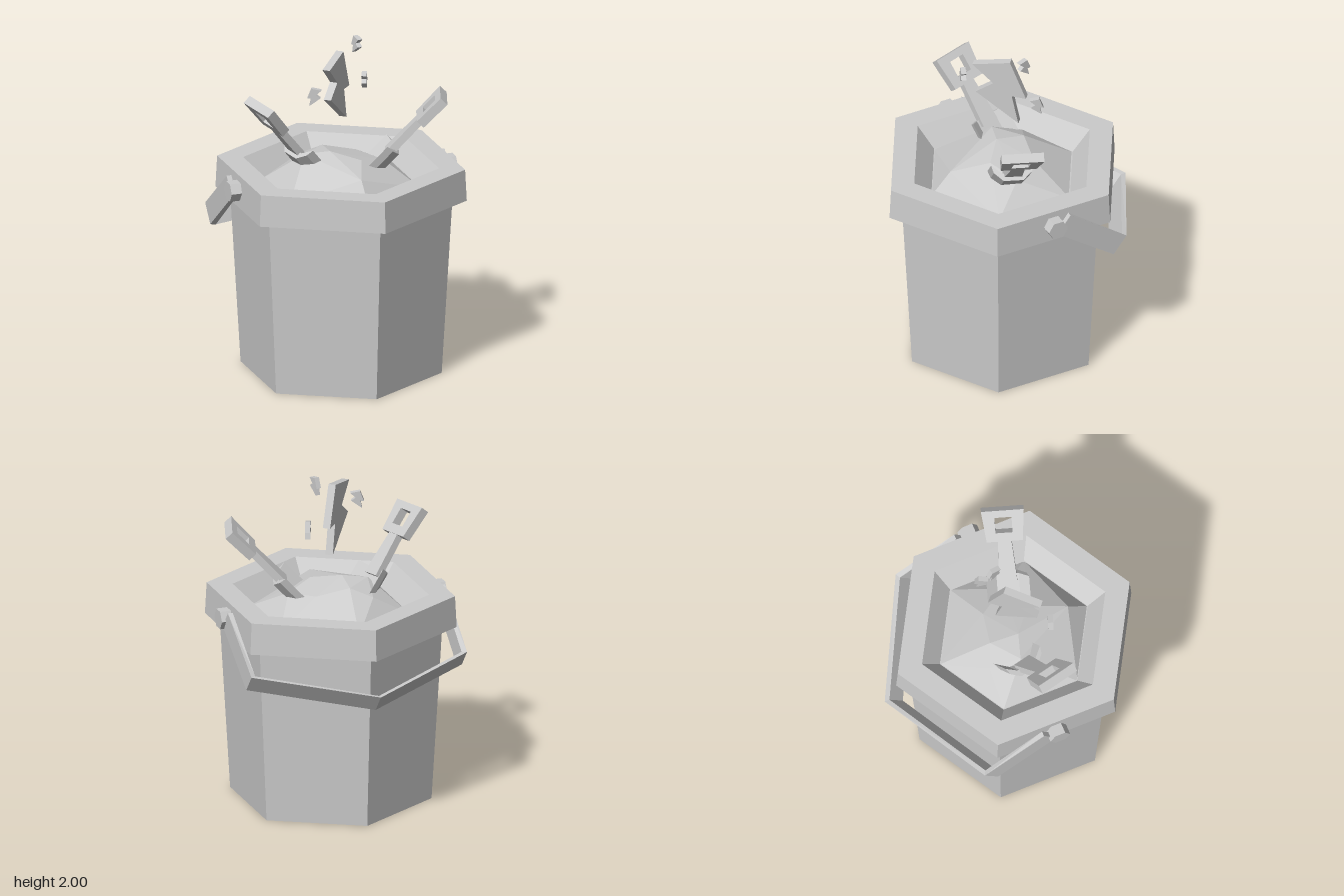
import * as THREE from 'three';
import { ConvexGeometry } from 'three/addons/geometries/ConvexGeometry.js';

const CX = 0.045, CZ = 0.04; // bucket axis
const V = (x, y, z) => new THREE.Vector3(x, y, z);
const grey = () => new THREE.MeshStandardMaterial({ color: 0xcccccc, flatShading: true, side: THREE.DoubleSide });

function add(parent, name, geometry) {
  const mesh = new THREE.Mesh(geometry, grey());
  mesh.name = name;
  parent.add(mesh);
  return mesh;
}

const polygon = (pts) => new THREE.Shape(pts.map(([x, y]) => new THREE.Vector2(x, y)));

function slab(shape, depth) {
  const g = new THREE.ExtrudeGeometry(shape, { depth, bevelEnabled: false });
  return g.translate(0, 0, -depth / 2);
}

// Point in the carrying handle's frame: u along the pivot axis, v away from it
const handlePoint = (u, v, y) => V(CX + 0.5 * u - 0.866 * v, y, CZ - 0.866 * u - 0.5 * v);

// Flat band bent around half a hexagon, with a rectangular section
function handleGeometry() {
  // u, v, y, then inward direction in u and v
  const path = [
    [-0.675, 0.05, 1.18, 1, 0], [-0.67, 0.42, 0.89, 0.95, -0.5], [0, 0.77, 0.82, 0, -1],
    [0.67, 0.42, 0.91, -0.95, -0.5], [0.675, 0.05, 1.18, -1, 0],
  ];
  const pos = [], index = [], t = 0.03, half = 0.068;
  for (const [u, v, y, iu, iv] of path) {
    for (const [k, s] of [[0, 1], [1, 1], [1, -1], [0, -1]]) {
      pos.push(...handlePoint(u + iu * t * k, v + iv * t * k + s * half * 0.62, y + s * half * 0.78).toArray());
    }
  }
  for (let i = 0; i < path.length - 1; i++) {
    for (let j = 0; j < 4; j++) {
      const a = i * 4 + j, b = i * 4 + ((j + 1) % 4);
      index.push(a, a + 4, b, b, a + 4, b + 4);
    }
  }
  const e = (path.length - 1) * 4;
  index.push(0, 1, 2, 0, 2, 3, e, e + 2, e + 1, e, e + 3, e + 2);
  const g = new THREE.BufferGeometry();
  g.setAttribute('position', new THREE.Float32BufferAttribute(pos, 3));
  g.setIndex(index);
  g.computeVertexNormals();
  return g;
}

// Spade: y runs along the shaft, x across the blade, the blade bulges to +z
function spade(name, base, tip, across) {
  const group = new THREE.Group();
  group.name = name;

  const grip = polygon([[-0.105, 0.27], [0.105, 0.27], [0.125, 0.47], [-0.125, 0.47]]);
  grip.holes.push(new THREE.Path([[-0.05, 0.325], [-0.05, 0.425], [0.05, 0.425], [0.05, 0.325]]
    .map(([x, y]) => new THREE.Vector2(x, y))));
  add(group, 'spadeGrip', slab(grip, 0.055));
  add(group, 'spadeShaft', slab(polygon([[-0.055, 0], [0.055, 0], [0.038, 0.28], [-0.038, 0.28]]), 0.045));

  // Curved blade, mostly buried
  const outer = [[-0.125, 0.05], [-0.065, 0], [0.065, 0], [0.125, 0.05]];
  const inner = outer.map(([x, y]) => [x * 0.9, y - 0.045]).reverse();
  const blade = slab(polygon([...outer, ...inner]), 0.2);
  blade.rotateX(-Math.PI / 2).translate(0, -0.055, 0);
  add(group, 'spadeBlade', blade);

  const y = tip.clone().sub(base).normalize();
  const z = across.clone().cross(y).normalize();
  const x = y.clone().cross(z);
  group.quaternion.setFromRotationMatrix(new THREE.Matrix4().makeBasis(x, y, z));
  group.position.copy(base);
  return group;
}

// Lightning bolt plate, centred on its own origin
function boltGeometry(size, depth) {
  const outline = [[0.15, 0.165], [-0.075, 0.21], [-0.17, -0.03], [-0.085, -0.025],
    [-0.125, -0.21], [0.13, -0.025], [0.025, 0.05]];
  return slab(polygon(outline.map(([x, y]) => [x * size, y * size])), depth);
}

export function createModel() {
  const model = new THREE.Group();
  model.name = 'sandBucket';

  // Six-sided bucket with overhanging rim and sloped inner lip
  const profile = [[0, 0], [0.592, 0], [0.655, 1.07], [0.74, 1.07], [0.73, 1.26],
    [0.577, 1.26], [0.465, 1.14], [0, 1.14]].map(([r, y]) => new THREE.Vector2(r, y));
  add(model, 'bucket', new THREE.LatheGeometry(profile, 6)).position.set(CX, 0, CZ);

  // Faceted sand heap
  const sand = [V(-0.1, 1.325, 0.2), V(0.01, 1.34, 0.1), V(0.34, 1.265, 0.21), V(0.19, 1.305, 0.03),
    V(-0.13, 1.32, 0), V(-0.24, 1.265, 0.08), V(0, 1.28, -0.15), V(0.2, 1.26, -0.16)];
  for (let i = 0; i < 6; i++) {
    const a = i * Math.PI / 3;
    sand.push(V(CX + 0.465 * Math.sin(a), 1.135, CZ + 0.465 * Math.cos(a)));
  }
  add(model, 'sand', new ConvexGeometry(sand));

  // Carrying handle and its two pivots
  add(model, 'carryHandle', handleGeometry());
  for (const side of [-1, 1]) {
    const pivot = add(model, 'handlePivot', new THREE.CylinderGeometry(0.062, 0.062, 0.09, 6));
    pivot.position.copy(handlePoint(side * 0.655, 0, 1.17));
    pivot.quaternion.setFromUnitVectors(V(0, 1, 0), V(0.5 * side, 0, -0.866 * side));
  }

  // Two spades stuck in the sand
  model.add(spade('frontSpade', V(-0.115, 1.33, 0.23), V(-0.17, 1.68, 0.52), V(0.95, -0.1, 0.25)));
  model.add(spade('backSpade', V(0.24, 1.32, -0.15), V(0.49, 1.68, -0.385), V(-0.62, 0, -0.78)));

  // Floating bolts: x, y, z, turn, size, thickness
  const bolts = [
    [0.03, 1.72, 0.075, -1.244, 1, 0.045],
    [0.045, 1.948, -0.105, -0.35, 0.25, 0.03],
    [0.06, 1.742, 0.297, 0.7, 0.25, 0.03],
    [0.033, 1.7, -0.185, -0.95, 0.25, 0.03],
  ];
  for (const [x, y, z, turn, size, depth] of bolts) {
    const bolt = add(model, size === 1 ? 'largeBolt' : 'smallBolt', boltGeometry(size, depth));
    bolt.position.set(x, y, z);
    bolt.rotation.y = turn;
  }
  return model;
}
